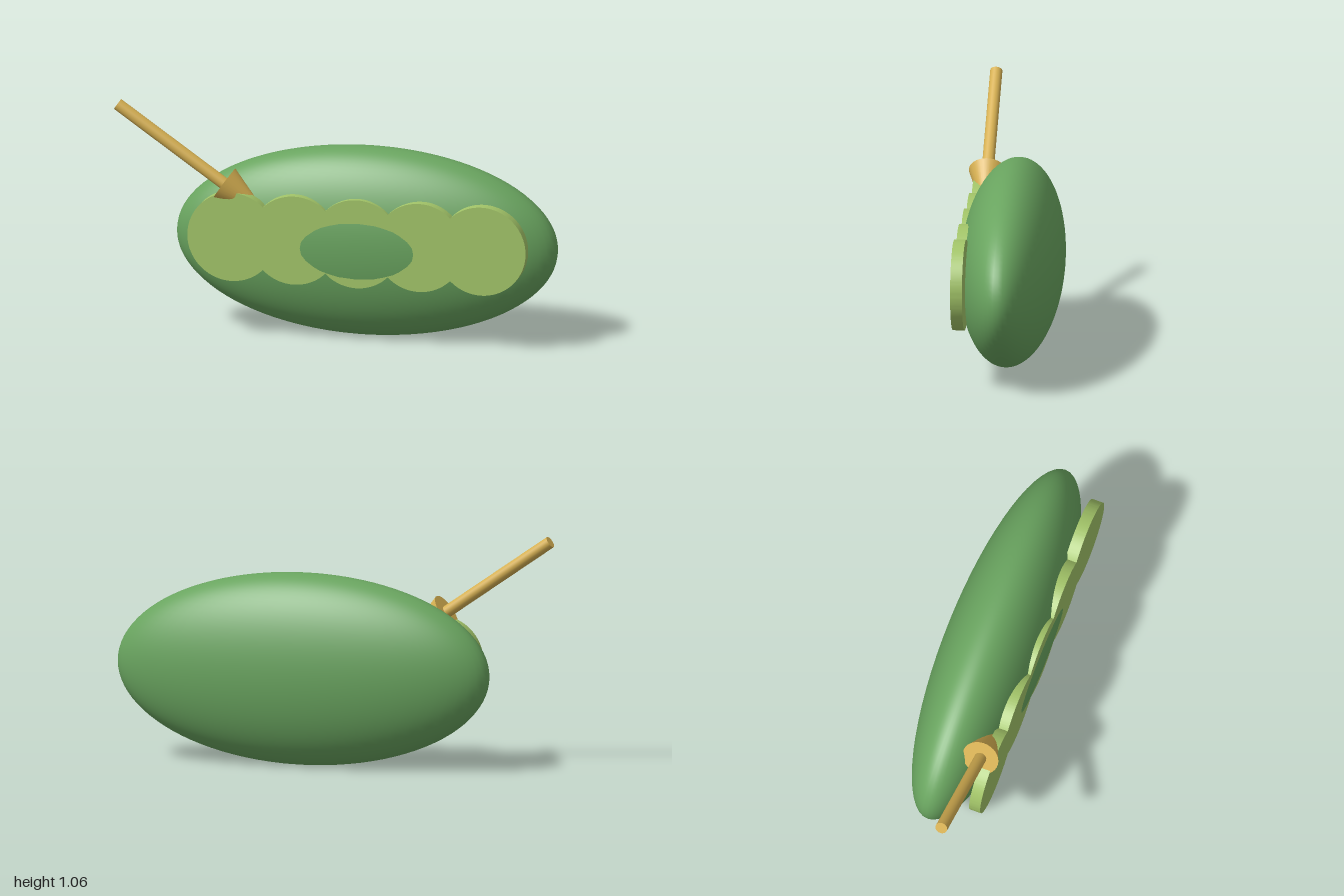
import * as THREE from 'three';
import { toCreasedNormals } from 'three/addons/utils/BufferGeometryUtils.js';

const mat = (name, color) => {
  const m = new THREE.MeshStandardMaterial({ color });
  m.name = name;
  return m;
};

// Outline of a row of overlapping discs, traced along the top and back along the bottom
function scallopShape(count, radius, spacing) {
  const a = Math.acos(spacing / 2 / radius);
  const last = count - 1;
  const cx = (i) => (i - last / 2) * spacing;
  const shape = new THREE.Shape();
  for (let i = 0; i <= last; i++) {
    shape.absarc(cx(i), 0, radius, i === 0 ? Math.PI : Math.PI - a, i === last ? 0 : a, true);
  }
  for (let i = last; i >= 0; i--) {
    shape.absarc(cx(i), 0, radius, i === last ? 0 : -a, i === 0 ? -Math.PI : a - Math.PI, true);
  }
  return shape;
}

export function createModel() {
  const green = mat('leaf green', 0x69a45f);
  const lightGreen = mat('light green', 0xa2c468);
  const gold = mat('gold', 0xd6b052);

  const model = new THREE.Group();
  const add = (name, geometry, material, parent = model) => {
    const mesh = new THREE.Mesh(geometry, material);
    mesh.name = name;
    parent.add(mesh);
    return mesh;
  };

  // Flattened oval body; its front bulges slightly through the plate
  const body = add('body', new THREE.SphereGeometry(1, 64, 48), green);
  body.scale.set(0.872, 0.433, 0.229);
  body.position.set(0.125, 0.436, -0.0085);

  // Scalloped plate of five merged discs
  const plateGeometry = new THREE.ExtrudeGeometry(scallopShape(5, 0.203, 0.286), {
    depth: 0.053, bevelEnabled: false, curveSegments: 28,
  });
  const plate = add('scallopedPlate', toCreasedNormals(plateGeometry, 0.5), lightGreen);
  plate.position.set(0.125, 0.47, 0.157);

  // Arrow built along +y from the tail, then aimed down into the body
  const tail = new THREE.Vector3(-0.983, 1.037, 0.152);
  const neck = new THREE.Vector3(-0.495, 0.699, 0.152);
  const direction = neck.clone().sub(tail);
  const length = direction.length();
  const arrow = new THREE.Group();
  arrow.name = 'arrow';
  arrow.position.copy(tail);
  arrow.quaternion.setFromUnitVectors(new THREE.Vector3(0, 1, 0), direction.normalize());
  model.add(arrow);

  const shaft = add('arrowShaft', new THREE.CylinderGeometry(0.0275, 0.0275, length, 24), gold, arrow);
  shaft.position.y = length / 2;
  const head = add('arrowHead', new THREE.ConeGeometry(0.084, 0.25, 32), gold, arrow);
  head.position.y = length + 0.125;

  return model;
}
